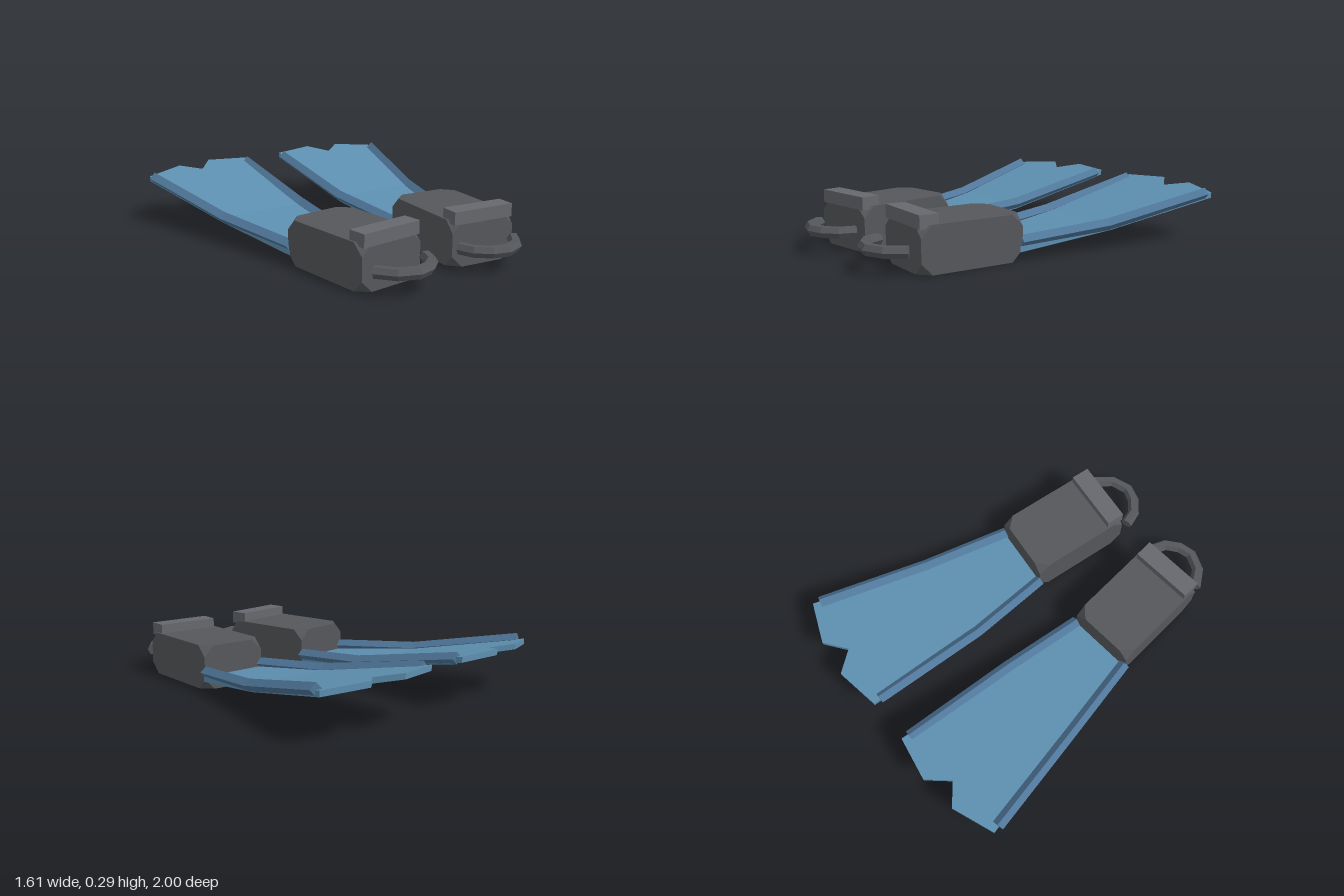
import * as THREE from 'three';
import { ConvexGeometry } from 'three/addons/geometries/ConvexGeometry.js';

const flat = (color) => new THREE.MeshStandardMaterial({ color, flatShading: true });

function addMesh(parent, name, geometry, material) {
  const mesh = new THREE.Mesh(geometry, material);
  mesh.name = name;
  parent.add(mesh);
  return mesh;
}

// Box with its eight corners cut off, standing on y = 0
function cutCornerBox(w, h, d, cut) {
  const points = [];
  for (const sx of [-1, 1]) for (const sy of [-1, 1]) for (const sz of [-1, 1]) {
    for (let axis = 0; axis < 3; axis++) {
      const p = [w / 2, h / 2, d / 2];
      p[axis] -= cut;
      points.push(new THREE.Vector3(sx * p[0], sy * p[1] + h / 2, sz * p[2]));
    }
  }
  return new ConvexGeometry(points);
}

// Capped bar with a regular cross-section following a path
function sweep(path, radius, sides) {
  const up = new THREE.Vector3(0, 1, 0);
  const pos = [], index = [], n = path.length;
  path.forEach((p, i) => {
    const t = path[Math.min(i + 1, n - 1)].clone().sub(path[Math.max(i - 1, 0)]).setY(0).normalize();
    const side = up.clone().cross(t);
    for (let j = 0; j < sides; j++) {
      const a = (j / sides) * Math.PI * 2;
      const v = p.clone().addScaledVector(side, radius * Math.cos(a)).addScaledVector(up, radius * Math.sin(a));
      pos.push(v.x, v.y, v.z);
    }
  });
  for (let i = 0; i < n - 1; i++) {
    for (let j = 0; j < sides; j++) {
      const k = (j + 1) % sides, a = i * sides, b = a + sides;
      index.push(a + j, a + k, b + k, a + j, b + k, b + j);
    }
  }
  const last = (n - 1) * sides;
  for (let j = 1; j < sides - 1; j++) {
    index.push(0, j + 1, j, last, last + j, last + j + 1);
  }
  let g = new THREE.BufferGeometry();
  g.setAttribute('position', new THREE.Float32BufferAttribute(pos, 3));
  g.setIndex(index);
  g = g.toNonIndexed();
  g.computeVertexNormals();
  return g;
}

// Height of the blade underside: gentle near the foot, steeper past the fold
const FOLD = -0.27;
const lift = (z) => 0.108 + (z > FOLD ? 0.12 : 0.2) * (FOLD - z);

// Thin slab from an x/z outline, bent upward by the lift rule
function bladeSlab(outline, s) {
  const shape = new THREE.Shape(outline.map(([x, z]) => new THREE.Vector2(s * x, -z)));
  const g = new THREE.ExtrudeGeometry(shape, { depth: 0.03, bevelEnabled: false });
  g.rotateX(-Math.PI / 2);
  const p = g.attributes.position;
  for (let i = 0; i < p.count; i++) p.setY(i, p.getY(i) + lift(p.getZ(i)));
  g.computeVertexNormals();
  return g;
}

function createFin(s, mats) {
  const fin = new THREE.Group();
  fin.name = s > 0 ? 'leftFin' : 'rightFin';
  const path = (pts) => pts.map(([x, y, z]) => new THREE.Vector3(s * x, y, z));

  // Foot pocket with the raised band at its opening
  const foot = new THREE.Group();
  foot.name = 'footPocketGroup';
  foot.position.set(s * 0.314, 0, 0.5);
  foot.rotation.y = -0.1 * s;
  fin.add(foot);
  addMesh(foot, 'footPocket', cutCornerBox(0.37, 0.24, 0.566, 0.06), mats.pocket);
  addMesh(foot, 'ankleBand', new THREE.BoxGeometry(0.35, 0.068, 0.102), mats.band)
    .position.set(0, 0.256, 0.234);

  // Heel strap loop
  const strap = [[0.108, 0.81], [0.135, 0.89], [0.2, 0.945], [0.274, 0.966], [0.365, 0.933], [0.436, 0.845]];
  addMesh(fin, 'heelStrap', sweep(path(strap.map(([x, z]) => [x, 0.12, z])), 0.032, 6), mats.pocket);

  // Blade in two slabs meeting at the fold, with a notched tip
  const inner = [0.128, FOLD], outer = [0.635, FOLD];
  addMesh(fin, 'bladeBase', bladeSlab([[0.16, 0.22], [0.525, 0.25], outer, inner], s), mats.blade);
  addMesh(fin, 'bladeTip', bladeSlab([
    inner, outer, [0.79, -0.887], [0.565, -0.976], [0.455, -0.887], [0.36, -1], [0.12, -0.96],
  ], s), mats.blade);

  // Diamond-section side rails
  addMesh(fin, 'outerRail', sweep(path([[0.518, 0.1, 0.24], [0.632, 0.14, -0.25], [0.775, 0.257, -0.85]]), 0.032, 4), mats.rail);
  addMesh(fin, 'innerRail', sweep(path([[0.162, 0.1, 0.2], [0.132, 0.14, -0.27], [0.132, 0.26, -0.92]]), 0.032, 4), mats.rail);
  return fin;
}

export function createModel() {
  const model = new THREE.Group();
  model.name = 'swimFins';
  const mats = {
    pocket: flat(0x55575b),
    band: flat(0x66686d),
    blade: flat(0x5d8fb0),
    rail: flat(0x50779a),
  };
  for (const s of [1, -1]) model.add(createFin(s, mats));
  return model;
}
